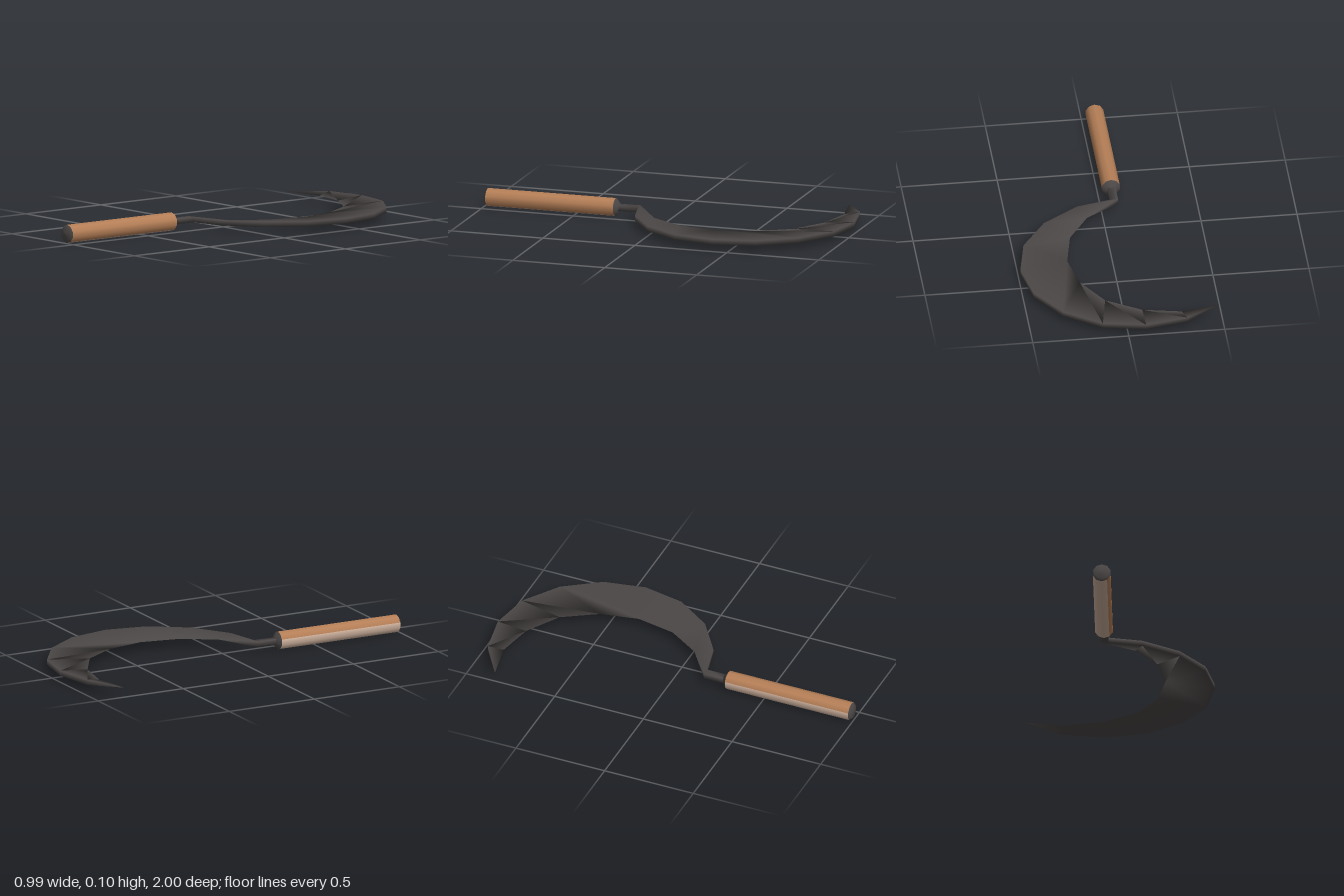
import * as THREE from 'three';
import { mergeVertices } from 'three/addons/utils/BufferGeometryUtils.js';

const HEIGHT = 0.049; // centre line of the whole tool
const GRIP_X = -0.067;
const FACET = Math.PI / 5; // the grip is ten-sided

// Tang and wedge-shaped blade lofted along pairs of edge points:
// [inner x, inner z, outer x, outer z, inner half thickness, outer half thickness]
function bladeGeometry() {
  const t = 0.014;
  const sections = [
    [-0.088, 0.28, -0.046, 0.28, t, t],
    [-0.088, 0.162, -0.046, 0.162, t, t],
    [0.09, 0.03, 0.13, 0.12, 0, t],
    [0.20, -0.14, 0.32, -0.01, 0, t],
    [0.24, -0.35, 0.45, -0.20, 0, t],
    [0.24, -0.35, 0.493, -0.42, 0, t],
    [0.24, -0.35, 0.45, -0.64, 0, t],
    [0.20, -0.55, 0.32, -0.83, 0, t],
    [0.09, -0.73, 0.13, -0.96, 0, t],
    [-0.09, -0.84, -0.09, -1.0, 0, t],
    [-0.29, -0.88, -0.31, -0.96, 0, t],
    [-0.493, -0.84, -0.493, -0.84, 0, 0],
  ];
  const positions = [];
  const index = [];
  sections.forEach(([ix, iz, ox, oz, ih, oh], i) => {
    positions.push(ix, ih, iz, ox, oh, oz, ox, -oh, oz, ix, -ih, iz);
    if (i === 0) return;
    const a = (i - 1) * 4, b = i * 4;
    for (let k = 0; k < 4; k++) {
      const n = (k + 1) % 4;
      index.push(a + k, a + n, b + n, a + k, b + n, b + k);
    }
  });
  let geometry = new THREE.BufferGeometry();
  geometry.setAttribute('position', new THREE.Float32BufferAttribute(positions, 3));
  geometry.setIndex(index);
  geometry = mergeVertices(geometry);
  geometry.computeVertexNormals();
  return geometry;
}

export function createModel() {
  const group = new THREE.Group();
  const material = (name, color) => {
    const m = new THREE.MeshStandardMaterial({ color });
    m.name = name;
    return m;
  };
  const steel = material('dark steel', 0x4c4847);
  const wood = material('brown wood', 0xb57f57);
  const paleWood = material('pale worn wood', 0xcdb09c);

  function add(name, geometry, mat, x = 0) {
    const mesh = new THREE.Mesh(geometry, mat);
    mesh.name = name;
    mesh.position.set(x, HEIGHT, 0);
    group.add(mesh);
  }

  // Turned part along z, given [radius, z] from back to front;
  // facets are counted from the underside towards +x
  function turned(name, profile, mat, first = 0, count = 10) {
    const points = profile.map(([r, z]) => new THREE.Vector2(r, z));
    const geometry = new THREE.LatheGeometry(points, count, first * FACET, count * FACET);
    add(name, geometry.rotateX(Math.PI / 2), mat, GRIP_X);
  }

  add('bladeAndTang', bladeGeometry(), steel);

  // Grip with worn underside, steel collar and rounded butt
  const grip = [[0.048, 0.29], [0.048, 0.985]];
  turned('collar', [[0, 0.268], [0.022, 0.268], [0.048, 0.29]], steel);
  turned('handle', grip, wood, 1, 6);
  turned('handleUnderside', grip, paleWood, -3, 4);
  turned('buttCap', [[0.048, 0.985], [0.036, 0.996], [0, 1.0]], steel);

  return group;
}
